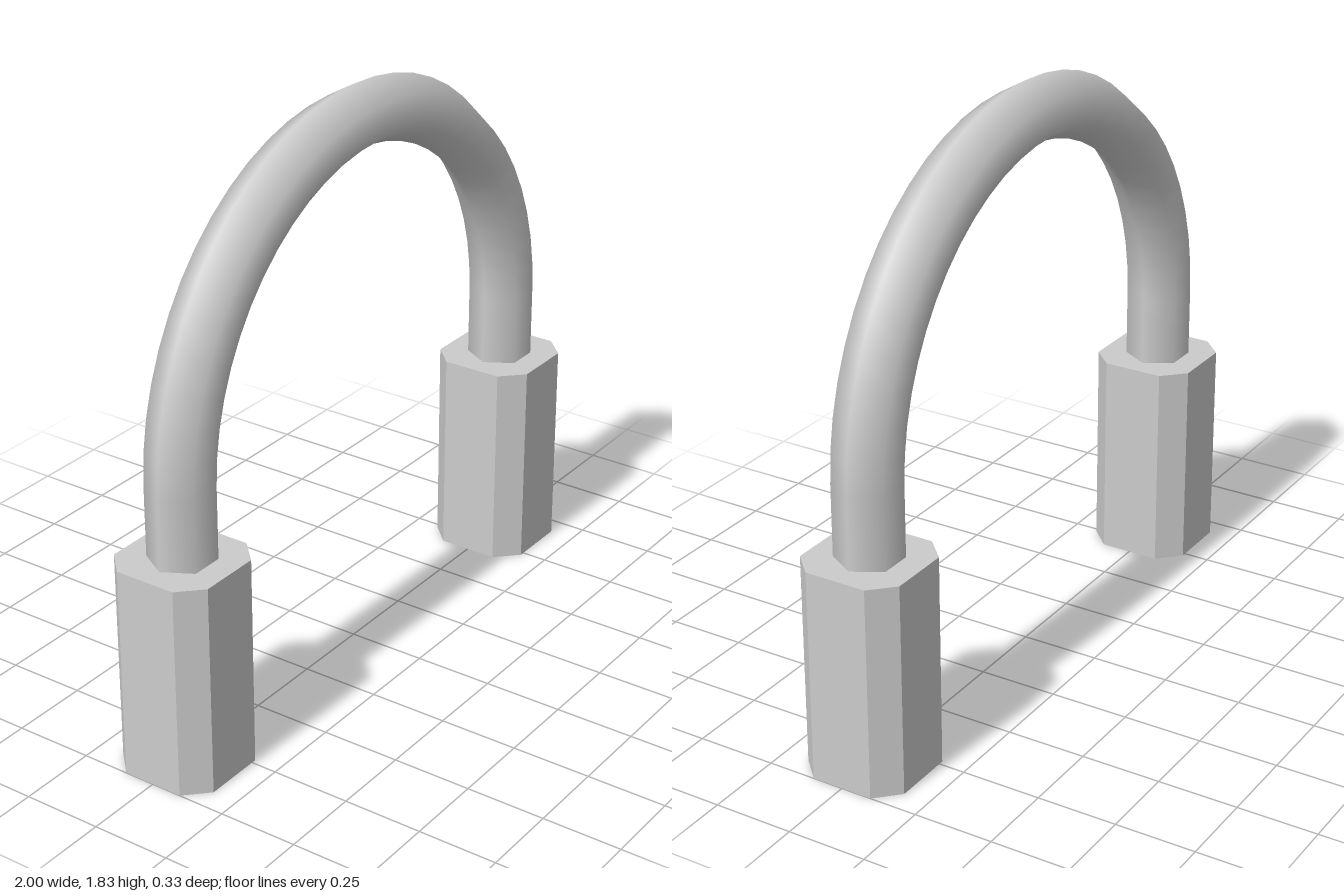
import * as THREE from 'three';

export function createModel() {
  const group = new THREE.Group();
  const material = new THREE.MeshStandardMaterial({ color: 0xcccccc });
  const add = (name, geometry, x, y) => {
    const mesh = new THREE.Mesh(geometry, material);
    mesh.name = name;
    mesh.position.set(x, y, 0);
    group.add(mesh);
  };

  const postHeight = 0.668, half = 0.167, flat = 0.098;
  const archRadius = 0.833, rodRadius = 0.102, springY = 0.89;

  // Chamfered square post section
  const section = new THREE.Shape([
    [half, -flat], [half, flat], [flat, half], [-flat, half],
    [-half, flat], [-half, -flat], [-flat, -half], [flat, -half],
  ].map(([x, y]) => new THREE.Vector2(x, y)));
  const post = new THREE.ExtrudeGeometry(section, { depth: postHeight, bevelEnabled: false });
  post.rotateX(-Math.PI / 2);

  // Straight hexagonal rod, slightly sunk into the post, ridge facing outward
  const sunk = 0.02;
  const legHeight = springY - postHeight + sunk;
  const leg = new THREE.CylinderGeometry(rodRadius, rodRadius, legHeight, 6, 1, true, Math.PI / 2);

  for (const [side, s] of [['left', 1], ['right', -1]]) {
    add(side + 'Post', post, s * archRadius, 0);
    add(side + 'RodLeg', leg, s * archRadius, springY - legHeight / 2);
  }

  // Half-circle rod joining the two legs
  add('archRod', new THREE.TorusGeometry(archRadius, rodRadius, 6, 28, Math.PI), 0, springY);

  return group;
}
